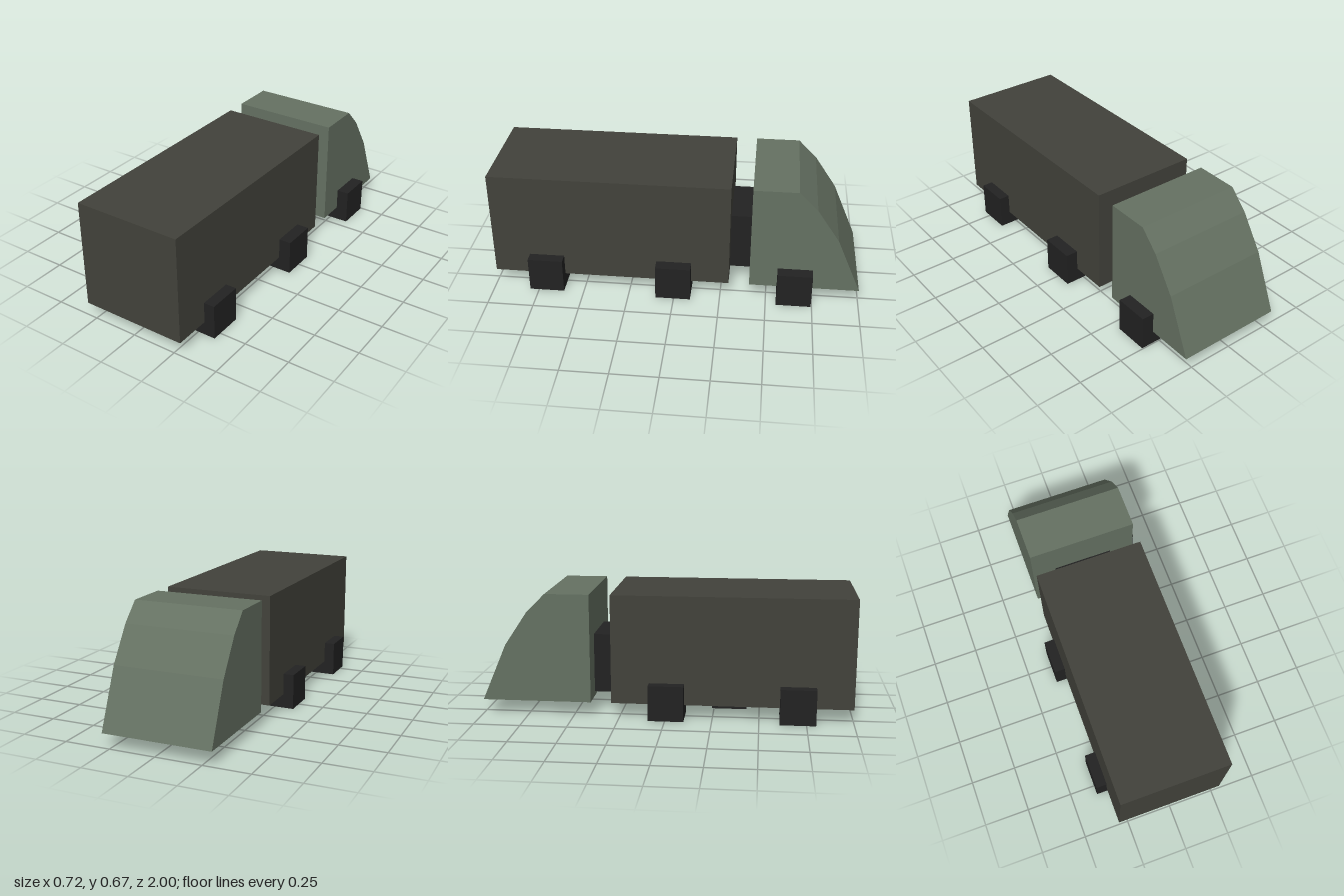
import * as THREE from 'three';

const material = (name, color) => {
  const m = new THREE.MeshStandardMaterial({ color });
  m.name = name;
  return m;
};

export function createModel() {
  const truck = new THREE.Group();
  truck.name = 'truck';
  const cargoGrey = material('cargoGrey', 0x42423b);
  const cabGreen = material('cabGreen', 0x657162);
  const black = material('black', 0x222222);

  const add = (name, geometry, mat) => {
    const mesh = new THREE.Mesh(geometry, mat);
    mesh.name = name;
    truck.add(mesh);
  };

  // Box given by its limits on each axis
  const box = (name, mat, [x0, x1], [y0, y1], [z0, z1]) => {
    const g = new THREE.BoxGeometry(x1 - x0, y1 - y0, z1 - z0);
    g.translate((x0 + x1) / 2, (y0 + y1) / 2, (z0 + z1) / 2);
    add(name, g, mat);
  };

  // Cargo body
  box('cargoBody', cargoGrey, [-0.301, 0.29], [0.076, 0.667], [-0.295, 1]);

  // Cab: side profile (distance towards -z, height) extruded across the width
  const profile = [[0.407, 0.076], [1, 0.076], [0.867, 0.385], [0.745, 0.567], [0.645, 0.667], [0.407, 0.667]];
  const shape = new THREE.Shape(profile.map(([d, y]) => new THREE.Vector2(d, y)));
  const cab = new THREE.ExtrudeGeometry(shape, { depth: 0.591, bevelEnabled: false });
  cab.rotateY(Math.PI / 2).translate(-0.301, 0, 0);
  add('cab', cab, cabGreen);

  // Coupling between cab and cargo body
  box('coupling', black, [-0.17, 0.155], [0.1, 0.425], [-0.415, -0.285]);

  // Block wheels: three on the left, two on the right, one under the middle
  const leftWheels = [[-0.745, -0.557, 0.358], [-0.09, 0.1, 0.358], [0.61, 0.8, 0.35]];
  for (const [z0, z1, outer] of leftWheels) box('leftWheel', black, [outer - 0.195, outer], [0, 0.193], [z0, z1]);
  for (const [z0, z1] of [[-0.09, 0.1], [0.61, 0.8]]) box('rightWheel', black, [-0.359, -0.164], [0, 0.193], [z0, z1]);
  box('middleWheel', black, [-0.101, 0.091], [0, 0.193], [0.24, 0.43]);

  return truck;
}
